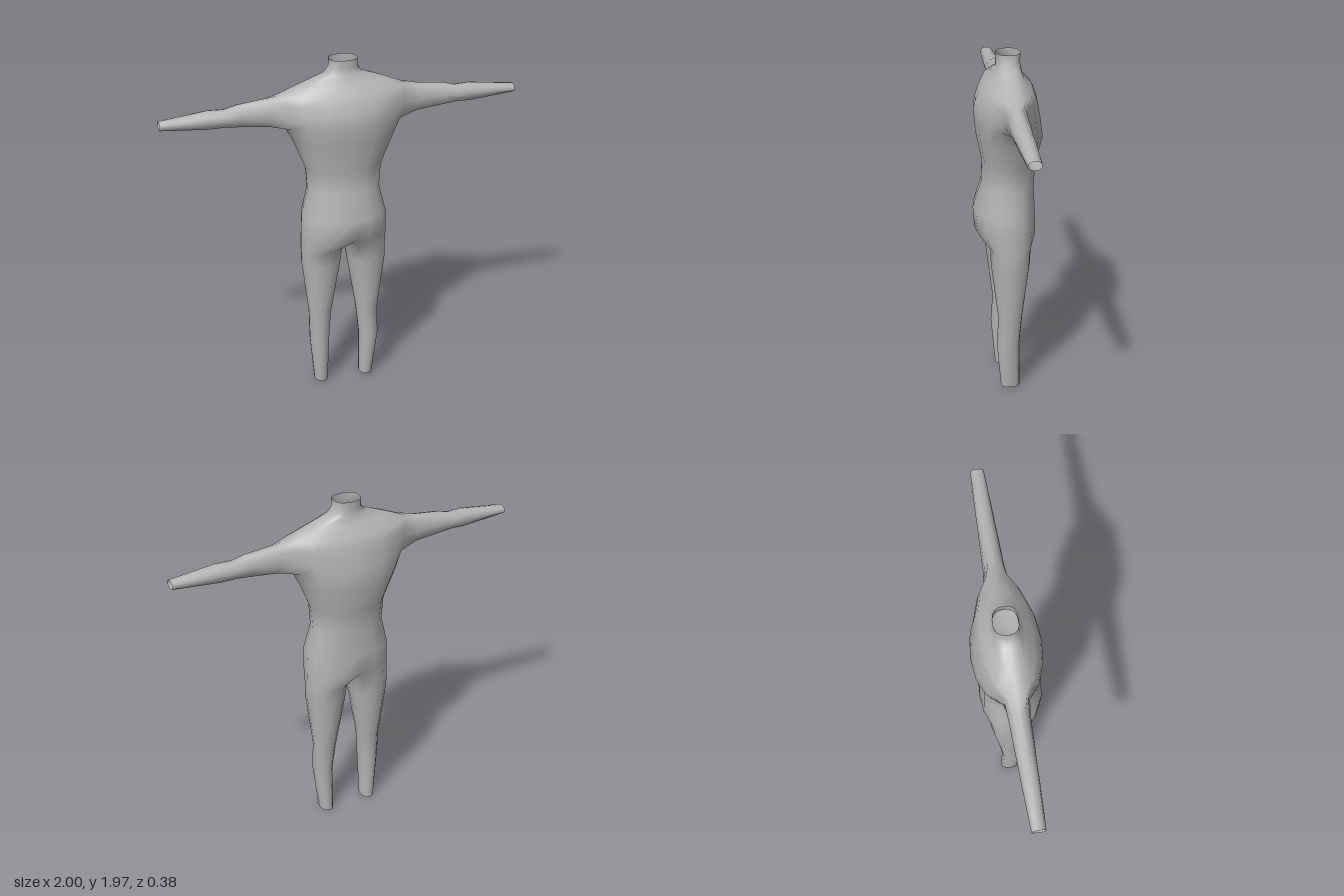
import * as THREE from 'three';

const N = 16; // points round the torso
const M = 12; // points round each limb

// Torso rows, top to bottom: y, half width, front z, back z, roundness (1 = ellipse)
const TORSO = [
  [1.965, 0.078, 0.062, -0.07, 0.8],
  [1.92, 0.078, 0.062, -0.068, 0.8],
  [1.885, 0.107, 0.066, -0.07, 0.85],
  [1.84, 0.24, 0.092, -0.085, 1],
  [1.79, 0.362, 0.135, -0.132, 1],
  [1.745, 0.358, 0.158, -0.15, 1],
  [1.70, 0.35, 0.175, -0.162, 1],
  [1.66, 0.343, 0.184, -0.17, 1],
  [1.615, 0.33, 0.184, -0.178, 1],
  [1.52, 0.28, 0.175, -0.19, 0.9],
  [1.36, 0.215, 0.143, -0.152, 0.9],
  [1.23, 0.205, 0.147, -0.145, 0.9],
  [1.08, 0.242, 0.195, -0.15, 0.9],
  [0.96, 0.245, 0.188, -0.155, 0.9],
];
const ARM_TOP = 4, ARM_BOTTOM = 8; // torso rows that bound the arm openings

// Arm rings: x, top y, bottom y, half depth
const ARM = [
  [0.42, 1.783, 1.622, 0.057],
  [0.58, 1.765, 1.64, 0.052],
  [0.65, 1.746, 1.648, 0.049],
  [0.74, 1.75, 1.646, 0.047],
  [1.0, 1.717, 1.67, 0.037],
];

// Leg rings: y, inner x, outer x, front z, back z
const LEG = [
  [0.87, 0.01, 0.246, 0.112, -0.115],
  [0.78, 0.022, 0.245, 0.11, -0.11],
  [0.45, 0.078, 0.205, 0.07, -0.067],
  [0.28, 0.094, 0.205, 0.08, -0.05],
  [0.0, 0.1, 0.175, 0.055, -0.055],
];

export function createModel() {
  const points = [];
  const add = (x, y, z) => points.push(x, y, z) / 3 - 1;
  const pw = (v, p) => Math.sign(v) * Math.abs(v) ** p;

  // Join two rings of equal length with outward faces
  const bridge = (index, a, b, skip = () => false) => {
    const n = a.length;
    for (let k = 0; k < n; k++) {
      if (skip(k)) continue;
      const j = (k + 1) % n;
      index.push(a[k], a[j], b[j], a[k], b[j], b[k]);
    }
  };

  // Torso with two arm openings
  const torso = [];
  const rows = TORSO.map(([y, w, front, back, p]) =>
    Array.from({ length: N }, (_, k) => {
      const a = (k / N) * Math.PI * 2;
      const s = Math.sin(a);
      return add(w * pw(Math.cos(a), p), y, pw(s, p) * (s > 0 ? front : -back));
    }));
  for (let r = 0; r < rows.length - 1; r++) {
    const open = r >= ARM_TOP && r < ARM_BOTTOM;
    bridge(torso, rows[r], rows[r + 1], k => open && [0, 7, 8, 15].includes(k));
  }

  // Arms grow from the edge of each opening
  const makeArm = side => {
    const index = [];
    const c = side > 0 ? 0 : N / 2;
    const at = (r, k) => rows[r][(c + k + N) % N];
    let ring = [at(ARM_TOP, 0)];
    for (let r = ARM_TOP; r <= ARM_BOTTOM; r++) ring.push(at(r, 1));
    ring.push(at(ARM_BOTTOM, 0));
    for (let r = ARM_BOTTOM; r >= ARM_TOP; r--) ring.push(at(r, -1));
    for (const [x, top, bottom, d] of ARM) {
      const next = Array.from({ length: M }, (_, j) => {
        const t = (j / M) * Math.PI * 2;
        return add(side * x, (top + bottom) / 2 + ((top - bottom) / 2) * Math.cos(t), side * d * Math.sin(t));
      });
      bridge(index, ring, next);
      ring = next;
    }
    return index;
  };

  // Crotch seam shared by both legs, front to back
  const hip = rows[rows.length - 1];
  const seam = [0.09, 0, -0.08].map(z => add(0, 0.94, z));

  const makeLeg = side => {
    const index = [];
    const start = side > 0 ? -4 : 4;
    let ring = Array.from({ length: 9 }, (_, i) => hip[(start + i + N) % N]);
    ring.push(...(side > 0 ? seam : [...seam].reverse()));
    for (const [y, inner, outer, front, back] of LEG) {
      const next = Array.from({ length: M }, (_, j) => {
        const a = ((side > 0 ? -120 : 60) + 30 * j) * Math.PI / 180;
        return add(
          side * (inner + outer) / 2 + ((outer - inner) / 2) * pw(Math.cos(a), 0.9), y,
          (front + back) / 2 + ((front - back) / 2) * pw(Math.sin(a), 0.9));
      });
      bridge(index, ring, next);
      ring = next;
    }
    return index;
  };

  const parts = {
    torso,
    leftArm: makeArm(1),
    rightArm: makeArm(-1),
    leftLeg: makeLeg(1),
    rightLeg: makeLeg(-1),
  };

  // Smooth normals over the whole skin, so the parts meet without seams
  const skin = new THREE.BufferGeometry();
  skin.setAttribute('position', new THREE.Float32BufferAttribute(points, 3));
  skin.setIndex(Object.values(parts).flat());
  skin.computeVertexNormals();

  const grey = new THREE.MeshStandardMaterial({ color: 0xb4b4b4, side: THREE.DoubleSide });
  grey.name = 'plain grey';

  const group = new THREE.Group();
  group.name = 'headlessBody';
  for (const [name, index] of Object.entries(parts)) {
    const geometry = new THREE.BufferGeometry();
    geometry.setAttribute('position', skin.getAttribute('position'));
    geometry.setAttribute('normal', skin.getAttribute('normal'));
    geometry.setIndex(index);
    const mesh = new THREE.Mesh(geometry, grey);
    mesh.name = name;
    group.add(mesh);
  }
  return group;
}
